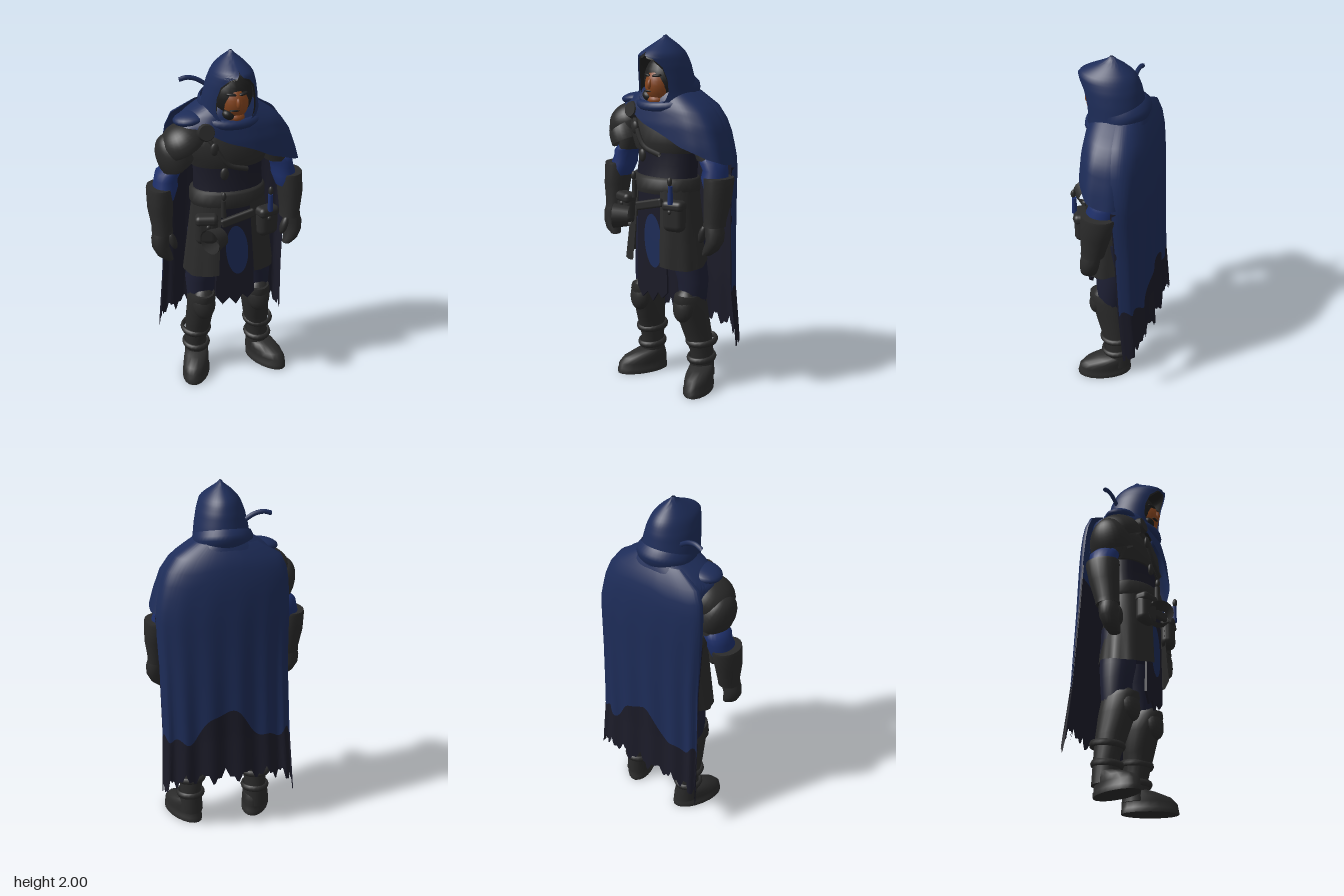
import * as THREE from 'three';
import { toCreasedNormals } from 'three/addons/utils/BufferGeometryUtils.js';
import { RoundedBoxGeometry } from 'three/addons/geometries/RoundedBoxGeometry.js';

const paint = (name, color) => {
  const m = new THREE.MeshStandardMaterial({ color, side: THREE.DoubleSide });
  m.name = name;
  return m;
};

// Linear lookup in a table whose first column is the key (any monotone order)
function lookup(table, key) {
  const dir = Math.sign(table[table.length - 1][0] - table[0][0]);
  let i = 0;
  while (i < table.length - 2 && (key - table[i + 1][0]) * dir > 0) i++;
  const a = table[i], b = table[i + 1];
  const t = THREE.MathUtils.clamp((key - a[0]) / (b[0] - a[0]), 0, 1);
  return a.map((v, k) => v + (b[k] - v) * t);
}

// Surface from a rule: fn(u, v) gives a point, u runs around, v runs down
function sheet(nu, nv, fn, crease = 0.9) {
  const pos = [], idx = [];
  for (let j = 0; j <= nv; j++)
    for (let i = 0; i <= nu; i++) pos.push(...fn(i / nu, j / nv));
  for (let j = 0; j < nv; j++)
    for (let i = 0; i < nu; i++) {
      const a = j * (nu + 1) + i, b = a + nu + 1;
      idx.push(a, b, a + 1, a + 1, b, b + 1);
    }
  const g = new THREE.BufferGeometry();
  g.setAttribute('position', new THREE.Float32BufferAttribute(pos, 3));
  g.setIndex(idx);
  return toCreasedNormals(g, crease);
}

// Capped body through elliptic sections [y, cx, cz, rx, rz], listed top to bottom
function loft(sections, sides = 20) {
  const first = sections[0], last = sections[sections.length - 1];
  const rows = [[...first.slice(0, 3), 0, 0], ...sections, [...last.slice(0, 3), 0, 0]];
  return sheet(sides, rows.length - 1, (u, v) => {
    const [y, cx, cz, rx, rz] = rows[Math.round(v * (rows.length - 1))];
    const a = u * Math.PI * 2;
    return [cx + rx * Math.sin(a), y, cz + rz * Math.cos(a)];
  });
}

const tube = (points, radius) => new THREE.TubeGeometry(
  new THREE.CatmullRomCurve3(points.map(p => new THREE.Vector3(...p))), 16, radius, 6);

export function createModel() {
  const root = new THREE.Group();
  root.name = 'hoodedRanger';
  const blue = paint('cloak blue', 0x1d2c58);
  const sleeveBlue = paint('sleeve blue', 0x1d2f6a);
  const navy = paint('dark navy', 0x1b1b28);
  const trouser = paint('trouser navy', 0x1d1f33);
  const leather = paint('charcoal leather', 0x2a2a2a);
  const black = paint('near black', 0x1e1e1e);
  const skin = paint('skin', 0x86451f);

  const add = (name, geo, mat, p = [0, 0, 0], r = [0, 0, 0], s = [1, 1, 1], parent = root) => {
    const m = new THREE.Mesh(geo, mat);
    m.name = name;
    m.position.set(...p); m.rotation.set(...r); m.scale.set(...s);
    parent.add(m);
    return m;
  };
  const ball = (name, mat, p, s, r, parent) => add(name, new THREE.SphereGeometry(1, 20, 14), mat, p, r, s, parent);

  // Torso, hips and belt
  add('chest', loft([[1.66, 0, -.02, .09, .08], [1.59, 0, -.02, .23, .115], [1.5, 0, -.01, .25, .14],
    [1.42, .01, -.01, .23, .15], [1.37, .01, -.01, .212, .138]], 28), leather);
  add('waist', loft([[1.4, .01, -.01, .2, .125], [1.3, .01, -.01, .195, .122], [1.2, .01, 0, .2, .13]], 28), navy);
  add('hips', loft([[1.2, .01, 0, .19, .12], [1, .01, -.01, .2, .12], [.82, .01, -.02, .19, .1]], 28), trouser);
  add('belt', loft([[1.23, .005, 0, .205, .15], [1.22, .005, 0, .215, .158], [1.16, .005, 0, .218, .16], [1.14, .005, 0, .21, .155]], 28), leather);
  add('chestStrap', tube([[-.16, 1.59, .09], [-.1, 1.5, .13], [-.03, 1.4, .145], [.08, 1.36, .135]], .014), leather);

  // Skirt panels around each hip, open at front and back
  for (const s of [1, -1])
    add('skirtPanel', sheet(24, 4, (u, v) => {
      const a = s * (.4 + u * 2.2), f = 1 + .015 * Math.sin(u * 26) * v;
      return [.01 + Math.sin(a) * (.205 + .06 * v) * f, 1.2 - v * (.46 + .02 * Math.sin(u * 5)), .005 + Math.cos(a) * (.15 + .03 * v) * f];
    }), leather);

  // Hanging front cloth with blue oval
  const cloth = new THREE.Shape([[-.09, 1.18], [.11, 1.18], [.13, .58], [.09, .54], [.06, .57], [.02, .51], [-.02, .56],
    [-.06, .52], [-.1, .58]].map(p => new THREE.Vector2(...p)));
  add('frontCloth', new THREE.ExtrudeGeometry(cloth, { depth: .012, bevelEnabled: false }), navy, [0, 0, .115]);
  add('clothOval', new THREE.CircleGeometry(1, 28), blue, [.025, .865, .131], [0, 0, .08], [.065, .155, 1]);

  // Legs, boots and feet
  for (const [hip, knee, ankle, foot, turn] of [[-.12, -.15, -.17, -.19, -.38], [.14, .185, .22, .255, .42]]) {
    const leg = new THREE.Group();
    leg.name = foot < 0 ? 'rightLeg' : 'leftLeg';
    root.add(leg);
    const put = (name, geo, mat, p, r, s) => add(name, geo, mat, p, r, s, leg);
    put('trouserLeg', loft([[.95, hip, -.03, .1, .1], [.72, (hip + knee) / 2, -.03, .095, .1], [.64, knee, -.03, .088, .09], [.5, knee, -.03, .075, .08]]), trouser);
    put('boot', loft([[.56, knee, 0, .072, .1], [.53, knee, -.005, .082, .108], [.45, knee, -.025, .08, .105],
      [.33, (knee + ankle) / 2, -.05, .076, .09], [.2, ankle, -.075, .062, .072], [.06, ankle, -.075, .07, .08]]), leather);
    ball('kneeGuard', leather, [knee, .5, .045], [.068, .1, .056], [-.25, 0, 0], leg);
    for (const [y, r] of [[.275, .08], [.17, .072]])
      put('bootStrap', new THREE.TorusGeometry(r, .012, 6, 20), leather, [ankle, y, -.07], [Math.PI / 2 + .1, 0, 0], [1, 1.08, 1.6]);
    put('foot', loft([[.135, 0, -.075, .055, .06], [.12, 0, -.05, .068, .095], [.09, 0, -.015, .074, .138], [.06, 0, -.002, .076, .154],
      [.03, 0, 0, .076, .157], [.025, 0, 0, .08, .16], [0, 0, 0, .08, .16]]), leather, [foot, 0, -.005], [0, turn, 0]);
  }

  // Arms: sleeve, gauntlet and curled hand
  for (const s of [-1, 1]) {
    const arm = new THREE.Group();
    arm.name = s < 0 ? 'rightArm' : 'leftArm';
    root.add(arm);
    const put = (name, mat, rows) => add(name, loft(rows.map(([y, x, z, a, b]) => [y, s * x, z, a, b])), mat, undefined, undefined, undefined, arm);
    put('upperArm', leather, [[1.58, .2, -.02, .05, .07], [1.5, .24, -.02, .075, .085], [1.34, .3, -.03, .066, .08]]);
    put('sleeve', sleeveBlue, [[1.36, .305, -.03, .06, .07], [1.33, .325, -.03, .07, .085], [1.29, .34, -.03, .064, .078], [1.25, .345, -.02, .07, .085], [1.18, .36, -.01, .06, .07]]);
    put('gauntlet', leather, [[1.255, .378, -.015, .072, .095], [1.24, .378, -.015, .075, .097], [1.13, .383, 0, .07, .085], [1.02, .378, .015, .058, .068], [.99, .378, .02, .06, .066]]);
    put('hand', leather, [[1.01, .38, .025, .05, .05], [.96, .39, .03, .055, .055], [.91, .395, .035, .048, .052], [.86, .375, .045, .042, .045], [.83, .352, .05, .025, .03]]);
    ball('thumb', leather, [s * .33, .945, .06], [.022, .055, .026], [0, 0, s * -.3], arm);
  }

  // Layered right shoulder armour
  const cup = new THREE.SphereGeometry(1, 24, 12, 0, Math.PI * 2, 0, Math.PI * .54);
  add('lowerShoulderPlate', cup, leather, [-.285, 1.405, -.005], [0, 0, .45], [.098, .16, .125]);
  add('upperShoulderPlate', cup, leather, [-.245, 1.5, .01], [0, 0, .5], [.13, .115, .138]);
  add('shoulderClasp', new THREE.CylinderGeometry(.042, .052, .03, 16), leather, [-.145, 1.59, .12], [1.35, 0, .1]);
  for (const [x, y, z] of [[-.105, 1.495, .135], [-.05, 1.345, .135]])
    ball('strapStud', leather, [x, y, z], [.024, .036, .015]);

  // Belt gear
  for (const [x, z] of [[-.16, .15], [.195, .14]]) {
    add('pouch', new RoundedBoxGeometry(.125, .16, .08, 4, .036), leather, [x, 1.03, z], [0, x * 1.5, 0]);
    add('pouchFlap', new RoundedBoxGeometry(.128, .06, .085, 3, .026), leather, [x, 1.095, z + .003], [0, x * 1.5, 0]);
    ball('pouchButton', leather, [x, 1.065, z + .043], [.013, .013, .01]);
  }
  add('hangingLoop', new THREE.CylinderGeometry(.07, .055, .09, 18, 1, true), leather, [-.13, 1, .22], [0, .55, Math.PI / 2]);
  add('frontSash', new RoundedBoxGeometry(.2, .05, .03, 2, .012), leather, [.02, 1.08, .155], [0, 0, .25]);
  for (const [x, mat] of [[.2, sleeveBlue], [-.07, leather]]) {
    add('beltVial', new THREE.CylinderGeometry(.013, .015, .1, 10), mat, [x, 1.16, .18]);
    ball('vialStopper', leather, [x, 1.235, .185], [.014, .025, .014]);
  }

  // Long back cloak: ragged dark hem and dark lining. Columns: y, right x, left x, edge z, back z
  const cloakRows = [[1.7, -.15, .18, -.05, -.165], [1.64, -.27, .285, -.06, -.205], [1.58, -.305, .335, -.07, -.225], [1.48, -.32, .375, -.08, -.243],
    [1.33, -.325, .405, -.09, -.252], [1, -.32, .39, -.11, -.255], [.6, -.335, .385, -.13, -.255], [.23, -.355, .4, -.17, -.275]];
  const cloakPoint = (u, y, lift) => {
    const [, xr, xl, ze, zb] = lookup(cloakRows, y);
    const a = 1 - 2 * u, c = Math.max(0, Math.cos(a * Math.PI / 2)), low = THREE.MathUtils.clamp((1.5 - y) / 1.1, 0, 1);
    const edge = ze - (a < 0 ? .07 * -a : 0);
    return [(xr + xl) / 2 + (xl - xr) / 2 * Math.sin(a * Math.PI / 2), y,
      edge + (zb - edge) * c ** .7 + .01 * low * Math.sin(a * 21 + 1) + lift];
  };
  const saw = t => Math.abs((t % 1) * 2 - 1);
  const hem = u => .38 - .12 * Math.abs(1 - 2 * u) ** 3 - .07 * saw(u * 9 + .2) + .03 * saw(u * 23);
  const dye = u => .58 + .17 * Math.exp(-(((u - .49) / .15) ** 2)) + .02 * Math.sin(u * 37) + .02 * Math.sin(u * 16);
  const cloakStrip = (name, mat, top, bottom, lift) => add(name, sheet(92, 16, (u, v) =>
    cloakPoint(u, top(u) + (bottom(u) - top(u)) * v, lift)), mat);
  cloakStrip('cloak', blue, () => 1.7, dye, 0);
  cloakStrip('cloakHem', navy, dye, hem, 0);
  cloakStrip('cloakLining', navy, () => 1.3, hem, .007);

  // Shoulder drape, long over the left arm. Columns: y, left rx, right rx, front rz, back rz
  const drapeRows = [[1.72, .13, .13, .11, .145], [1.67, .21, .215, .135, .165], [1.61, .295, .29, .155, .185],
    [1.53, .35, .305, .168, .2], [1.42, .39, .31, .172, .205], [1.31, .42, .31, .165, .208]];
  const drapeHem = [[-180, 1.42], [-130, 1.45], [-100, 1.58], [-80, 1.615], [-40, 1.605], [-20, 1.57], [0, 1.51], [15, 1.465], [28, 1.42], [60, 1.36], [90, 1.325], [120, 1.32], [180, 1.42]];
  add('shoulderDrape', sheet(72, 12, (u, v) => {
    const d = u * 360 - 180, a = d * Math.PI / 180;
    const y = 1.72 + (lookup(drapeHem, d)[1] - 1.72) * v;
    const [, xl, xr, zf, zb] = lookup(drapeRows, y), s = Math.sin(a), c = Math.cos(a);
    const f = 1 + .01 * v * Math.sin(a * 11);
    return [.01 + (s > 0 ? xl : xr) * Math.sign(s) * Math.abs(s) ** .82 * f, y, -.02 + (c > 0 ? zf : zb) * Math.sign(c) * Math.abs(c) ** .82 * f];
  }), blue);
  ball('drapeFold', blue, [-.205, 1.64, .01], [.095, .035, .085], [0, 0, .12]);
  add('neckRoll', new THREE.TorusGeometry(.15, .028, 8, 32), blue, [.015, 1.65, -.01], [Math.PI / 2 + .2, 0, 0], [1.1, .98, 1]);

  // Hood, open at the face. Columns: y, rx, back z, front z, half opening in degrees
  const hoodRows = [[2, .006, .01, .03, 0], [1.985, .018, -.01, .045, 0], [1.955, .056, -.055, .1, 0], [1.92, .092, -.1, .17, 0], [1.9, .107, -.115, .2, 3],
    [1.885, .114, -.123, .198, 26], [1.84, .13, -.14, .19, 44], [1.77, .145, -.155, .175, 48], [1.7, .155, -.165, .162, 45], [1.65, .168, -.168, .15, 32], [1.615, .175, -.17, .145, 3]];
  const hood = k => sheet(40, 26, (u, v) => {
    const [y, rx, zb, zf, open] = lookup(hoodRows, 2 - .385 * v);
    const o = open * Math.PI / 180, a = o + u * (Math.PI * 2 - 2 * o);
    return [.018 + k * rx * Math.sin(a), y - (1 - k) * .2, (zb + zf) / 2 + k * (zf - zb) / 2 * Math.cos(a)];
  }, 1.2);
  add('hood', hood(1), blue);
  add('hoodLining', hood(.94), black);
  add('hoodCollar', sheet(28, 4, (u, v) => {
    const a = 1.45 + u * 3.4, k = Math.sin(u * Math.PI);
    const r = [0, .03, .035, .03, .02][Math.round(v * 4)] * k;
    return [.015 + (.155 + r) * Math.sin(a), 1.72 + .06 * k - v * .1, (.157 + r) * Math.cos(a)];
  }), blue);
  add('hoodStrap', tube([[-.1, 1.8, -.06], [-.15, 1.83, -.065], [-.2, 1.84, -.07], [-.24, 1.83, -.075]], .013), blue);

  // Head in a dark coif, with face, brows and beard
  ball('coif', black, [.018, 1.76, .02], [.118, .14, .118]);
  ball('neck', black, [.015, 1.64, .03], [.1, .06, .09]);
  ball('face', skin, [.022, 1.735, .06], [.082, .105, .095]);
  ball('nose', skin, [.022, 1.745, .15], [.013, .028, .016], [-.2, 0, 0]);
  ball('throat', skin, [.022, 1.655, .085], [.055, .035, .06]);
  for (const s of [-1, 1])
    ball('brow', black, [.022 + s * .034, 1.79, .13], [.028, .009, .014], [0, s * .35, s * .12]);
  ball('moustache', black, [.005, 1.705, .142], [.03, .007, .013]);
  ball('beard', black, [-.022, 1.675, .115], [.036, .026, .03], [0, 0, -.5]);

  return root;
}
